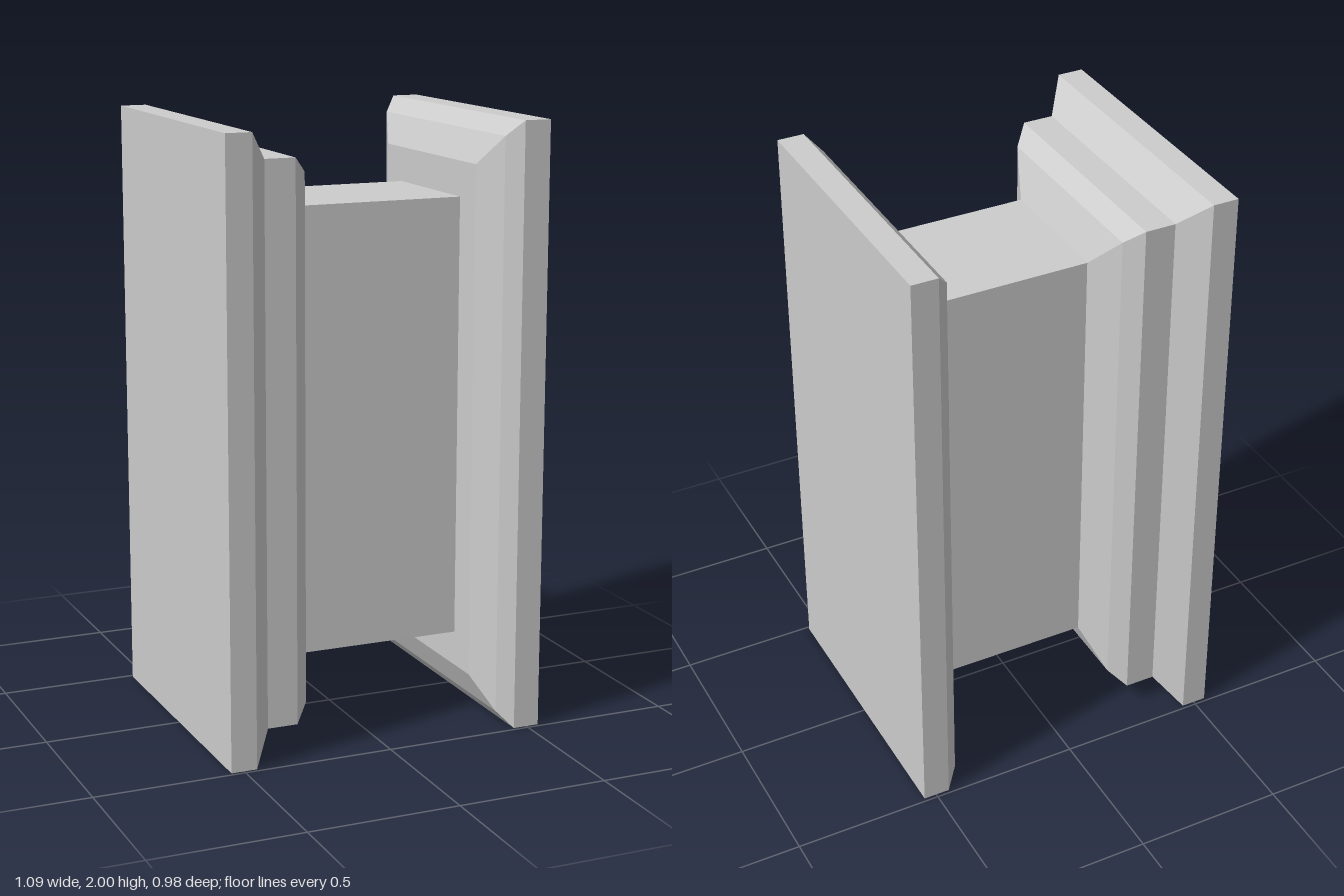
import * as THREE from 'three';

// Loft of rectangular sections along x: [x, half height, half depth]
function loft(sections, capStart, capEnd) {
  const rings = sections.map(([x, h, d]) =>
    [[-1, -1], [1, -1], [1, 1], [-1, 1]].map(([sy, sz]) => [x, 1 + sy * h, sz * d]));
  const pos = [];
  const quad = (a, b, c, d) => pos.push(...a, ...b, ...c, ...a, ...c, ...d);
  for (let s = 0; s < rings.length - 1; s++) {
    const a = rings[s], b = rings[s + 1];
    for (let i = 0; i < 4; i++) {
      const j = (i + 1) % 4;
      quad(a[i], a[j], b[j], b[i]);
    }
  }
  if (capStart) quad(...[...rings[0]].reverse());
  if (capEnd) quad(...rings[rings.length - 1]);
  const geo = new THREE.BufferGeometry();
  geo.setAttribute('position', new THREE.Float32BufferAttribute(pos, 3));
  geo.computeVertexNormals();
  return geo;
}

export function createModel() {
  const group = new THREE.Group();
  const grey = new THREE.MeshStandardMaterial({ color: 0xcccccc });
  grey.name = 'light grey';

  const add = (name, sections, capStart, capEnd) => {
    const mesh = new THREE.Mesh(loft(sections, capStart, capEnd), grey);
    mesh.name = name;
    group.add(mesh);
  };

  // Outer plate with its bevel
  add('rightPlate', [[-0.543, 1, 0.488], [-0.457, 1, 0.488], [-0.383, 0.908, 0.396]], true, false);
  // Stepped collar narrowing to the core
  add('steppedCollar', [[-0.383, 0.908, 0.396], [-0.281, 0.908, 0.396],
    [-0.23, 0.857, 0.345], [-0.179, 0.735, 0.222]], false, false);
  // Square core
  add('core', [[-0.179, 0.735, 0.222], [0.363, 0.735, 0.222]], false, false);
  // Opposite plate with a two-step chamfer on its inner side
  add('leftPlate', [[0.363, 0.851, 0.331], [0.408, 0.949, 0.443],
    [0.454, 1, 0.488], [0.543, 1, 0.488]], true, true);
  return group;
}
